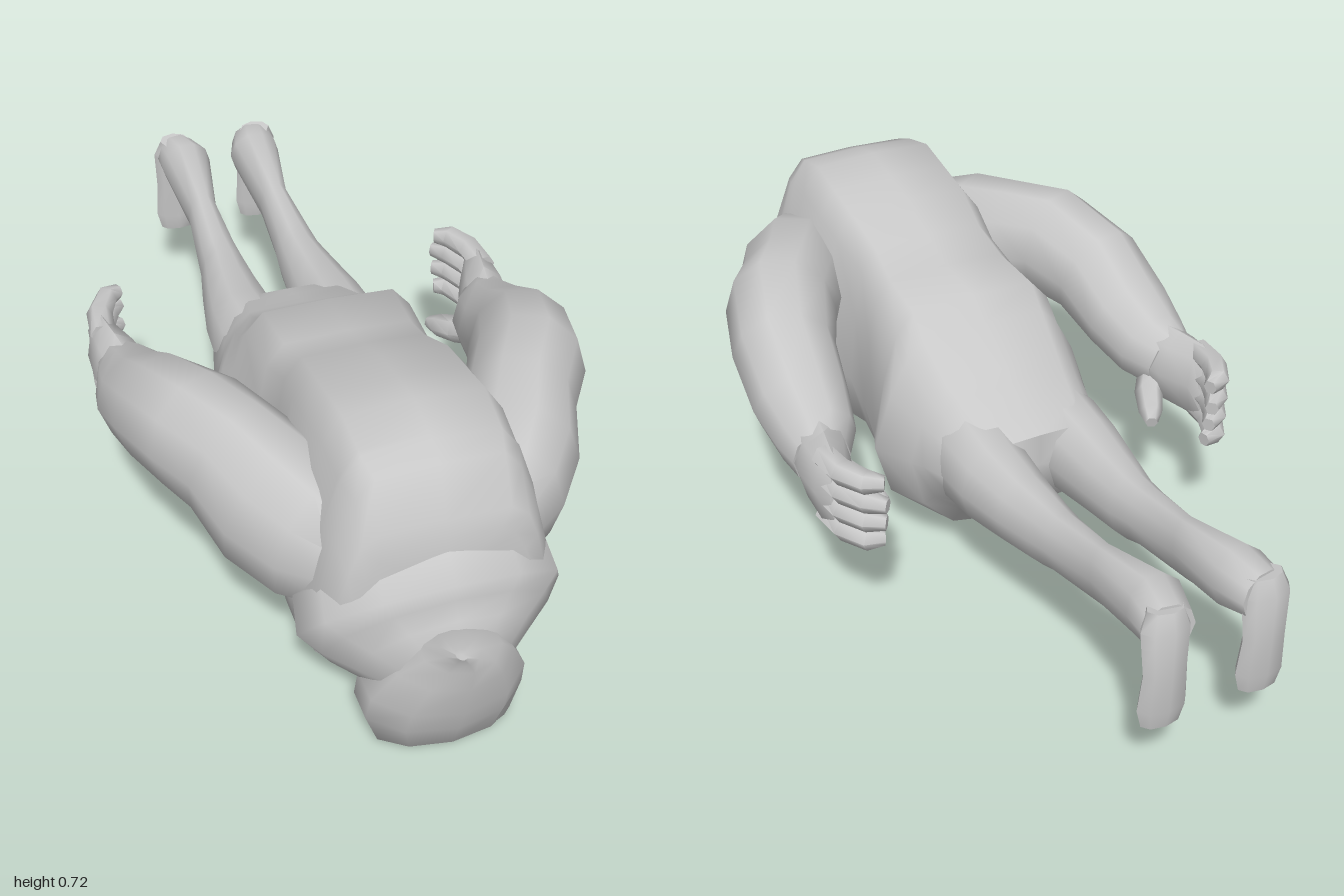
import * as THREE from 'three';
import { toCreasedNormals } from 'three/addons/utils/BufferGeometryUtils.js';

const V = (x, y, z) => new THREE.Vector3(x, y, z);

// Skin a list of equal-length rings and close both ends; winding is set outward by signed volume.
function loft(rings, crease = 1.1) {
  const n = rings[0].length, pts = rings.flat(), index = [];
  for (let i = 0; i < rings.length - 1; i++) {
    for (let j = 0; j < n; j++) {
      const a = i * n + j, b = i * n + (j + 1) % n;
      index.push(a, b, b + n, a, b + n, a + n);
    }
  }
  [0, rings.length - 1].forEach((r) => {
    const c = pts.length;
    pts.push(rings[r].reduce((s, p) => s.add(p), V(0, 0, 0)).divideScalar(n));
    for (let j = 0; j < n; j++) {
      const a = r * n + j, b = r * n + (j + 1) % n;
      index.push(c, ...(r ? [a, b] : [b, a]));
    }
  });
  let volume = 0;
  for (let i = 0; i < index.length; i += 3) {
    volume += pts[index[i]].dot(pts[index[i + 1]].clone().cross(pts[index[i + 2]]));
  }
  if (volume < 0) index.reverse();
  const geo = new THREE.BufferGeometry().setFromPoints(pts);
  geo.setIndex(index);
  return toCreasedNormals(geo, crease);
}

// Limb along stations [x, y, z, radiusSide, radiusUp]; s mirrors it across x.
function limb(stations, s, sides = 10, ref = V(0, 1, 0)) {
  const centers = stations.map(([x, y, z]) => V(s * x, y, z));
  return loft(centers.map((c, i) => {
    const t = centers[Math.min(i + 1, centers.length - 1)].clone()
      .sub(centers[Math.max(i - 1, 0)]).normalize();
    const side = ref.clone().cross(t).normalize();
    const up = t.clone().cross(side);
    return Array.from({ length: sides }, (_, j) => {
      const a = (j / sides) * Math.PI * 2;
      return c.clone().addScaledVector(side, Math.cos(a) * stations[i][3])
        .addScaledVector(up, Math.sin(a) * stations[i][4]);
    });
  }));
}

// Symmetric torso slice: flat back, widest at yMid, narrow belly.
function torsoRing([z, yb, yt, wTop, wMid, yMid, wBot]) {
  const h = yt - yb;
  const half = [
    [wTop * 0.78, yt - h * 0.01], [wTop, yt - h * 0.1],
    [(wTop + wMid) / 2, (yt + yMid) / 2], [wMid, yMid],
    [wMid * 0.87, yMid - (yMid - yb) * 0.55], [wBot, yb + (yMid - yb) * 0.12],
  ];
  return [V(0, yt, z), ...half.map(([x, y]) => V(x, y, z)), V(0, yb, z),
    ...half.slice().reverse().map(([x, y]) => V(-x, y, z))];
}

// Head slice at height y, from zFront to zBack with half width w.
function headRing([y, zf, zb, w, x = 0]) {
  return Array.from({ length: 10 }, (_, j) => {
    const a = (j / 10) * Math.PI * 2;
    return V(x + Math.sin(a) * w, y, (zf + zb) / 2 + Math.cos(a) * (zf - zb) / 2);
  });
}

export function createModel() {
  const model = new THREE.Group();
  const grey = new THREE.MeshStandardMaterial({ color: 0xc8c8c8 });
  grey.name = 'grey';
  const add = (parent, name, geo) => {
    const mesh = new THREE.Mesh(geo, grey);
    mesh.name = name;
    parent.add(mesh);
  };

  // Hunched torso, from neck to hips
  add(model, 'torso', loft([
    [0.82, 0.28, 0.535, 0.14, 0.19, 0.39, 0.1],
    [0.805, 0.24, 0.57, 0.175, 0.22, 0.38, 0.12],
    [0.76, 0.17, 0.675, 0.17, 0.25, 0.37, 0.13],
    [0.71, 0.1, 0.695, 0.185, 0.26, 0.36, 0.13],
    [0.695, 0.025, 0.7, 0.185, 0.265, 0.35, 0.13],
    [0.61, 0.02, 0.72, 0.19, 0.28, 0.34, 0.13],
    [0.51, 0.01, 0.7, 0.19, 0.275, 0.32, 0.13],
    [0.41, 0.045, 0.68, 0.19, 0.25, 0.3, 0.13],
    [0.3, 0.075, 0.635, 0.175, 0.215, 0.29, 0.13],
    [0.2, 0.05, 0.6, 0.185, 0.225, 0.28, 0.13],
    [0.06, 0.04, 0.59, 0.195, 0.26, 0.28, 0.14],
    [0.01, 0.045, 0.54, 0.195, 0.28, 0.28, 0.14],
    [-0.09, 0.06, 0.475, 0.18, 0.235, 0.29, 0.13],
    [-0.13, 0.13, 0.455, 0.17, 0.225, 0.3, 0.13],
    [-0.21, 0.185, 0.425, 0.15, 0.205, 0.31, 0.12],
    [-0.27, 0.22, 0.4, 0.11, 0.18, 0.31, 0.1],
  ].map(torsoRing)));

  // Slanted collar narrowing to the neck
  add(model, 'collar', limb([
    [0, 0.37, 0.645, 0.24, 0.19], [0, 0.335, 0.685, 0.275, 0.215],
    [0, 0.285, 0.745, 0.285, 0.215], [0, 0.26, 0.785, 0.245, 0.185],
    [0, 0.24, 0.825, 0.19, 0.15], [0, 0.22, 0.87, 0.13, 0.12],
  ], 1, 12));

  // Face-down head with a pointed crown
  add(model, 'head', loft([
    [0.005, 0.87, 0.78, 0.13, 0.02],
    [0.03, 0.895, 0.74, 0.155, 0.005],
    [0.11, 0.93, 0.69, 0.18],
    [0.18, 0.955, 0.69, 0.175],
    [0.27, 0.975, 0.74, 0.13],
    [0.33, 0.985, 0.82, 0.085],
    [0.365, 0.992, 0.9, 0.04, -0.015],
    [0.39, 1.0, 0.97, 0.012, -0.03],
  ].map(headRing)));

  for (const s of [1, -1]) {
    const side = s > 0 ? 'left' : 'right';

    // Arm: shoulder, elbow, forearm, wrist
    const arm = new THREE.Group();
    arm.name = side + 'Arm';
    model.add(arm);
    add(arm, side + 'Sleeve', limb([
      [0.16, 0.41, 0.7, 0.08, 0.13], [0.205, 0.42, 0.62, 0.125, 0.17],
      [0.265, 0.45, 0.52, 0.14, 0.18], [0.32, 0.49, 0.41, 0.125, 0.155],
      [0.37, 0.51, 0.33, 0.13, 0.14], [0.415, 0.48, 0.2, 0.12, 0.125],
      [0.43, 0.42, 0.07, 0.112, 0.105], [0.437, 0.385, -0.03, 0.092, 0.095],
      [0.45, 0.37, -0.09, 0.065, 0.085],
    ], s));

    // Hand with four curled fingers and a thumb
    add(arm, side + 'Palm', limb([
      [0.44, 0.375, -0.04, 0.065, 0.085], [0.455, 0.365, -0.12, 0.06, 0.1],
      [0.47, 0.365, -0.2, 0.042, 0.1], [0.468, 0.366, -0.235, 0.025, 0.09],
    ], s, 8));
    for (let f = 0; f < 4; f++) {
      const y = 0.435 - f * 0.049, tip = -0.345 + Math.abs(f - 1.2) * 0.014;
      add(arm, side + 'Finger' + (f + 1), limb([
        [0.475, y, -0.17, 0.03, 0.028], [0.467, y + 0.004, -0.25, 0.031, 0.029],
        [0.437, y + 0.006, -0.31, 0.027, 0.027], [0.405, y + 0.004, tip, 0.016, 0.018],
      ], s, 6));
    }
    add(arm, side + 'Thumb', limb([
      [0.43, 0.33, -0.06, 0.04, 0.04], [0.385, 0.305, -0.11, 0.034, 0.034],
      [0.36, 0.288, -0.16, 0.028, 0.028], [0.345, 0.28, -0.19, 0.015, 0.016],
    ], s, 6));

    // Leg from hip to ankle
    add(model, side + 'Leg', limb([
      [0.1, 0.31, -0.08, 0.09, 0.13], [0.11, 0.31, -0.18, 0.1, 0.12],
      [0.113, 0.31, -0.28, 0.09, 0.105],
      [0.108, 0.315, -0.4, 0.073, 0.088], [0.102, 0.322, -0.5, 0.058, 0.08],
      [0.102, 0.335, -0.56, 0.052, 0.07], [0.098, 0.363, -0.72, 0.038, 0.07],
      [0.096, 0.415, -0.9, 0.066, 0.07], [0.108, 0.415, -0.965, 0.055, 0.055],
    ], s));

    // Foot hanging down at the end of the leg
    add(model, side + 'Foot', limb([
      [0.112, 0.46, -0.955, 0.04, 0.03], [0.114, 0.42, -0.962, 0.055, 0.038],
      [0.114, 0.32, -0.972, 0.05, 0.028], [0.114, 0.23, -0.967, 0.056, 0.031],
      [0.114, 0.185, -0.967, 0.045, 0.022],
    ], s, 8, V(0, 0, 1)));
  }
  return model;
}
